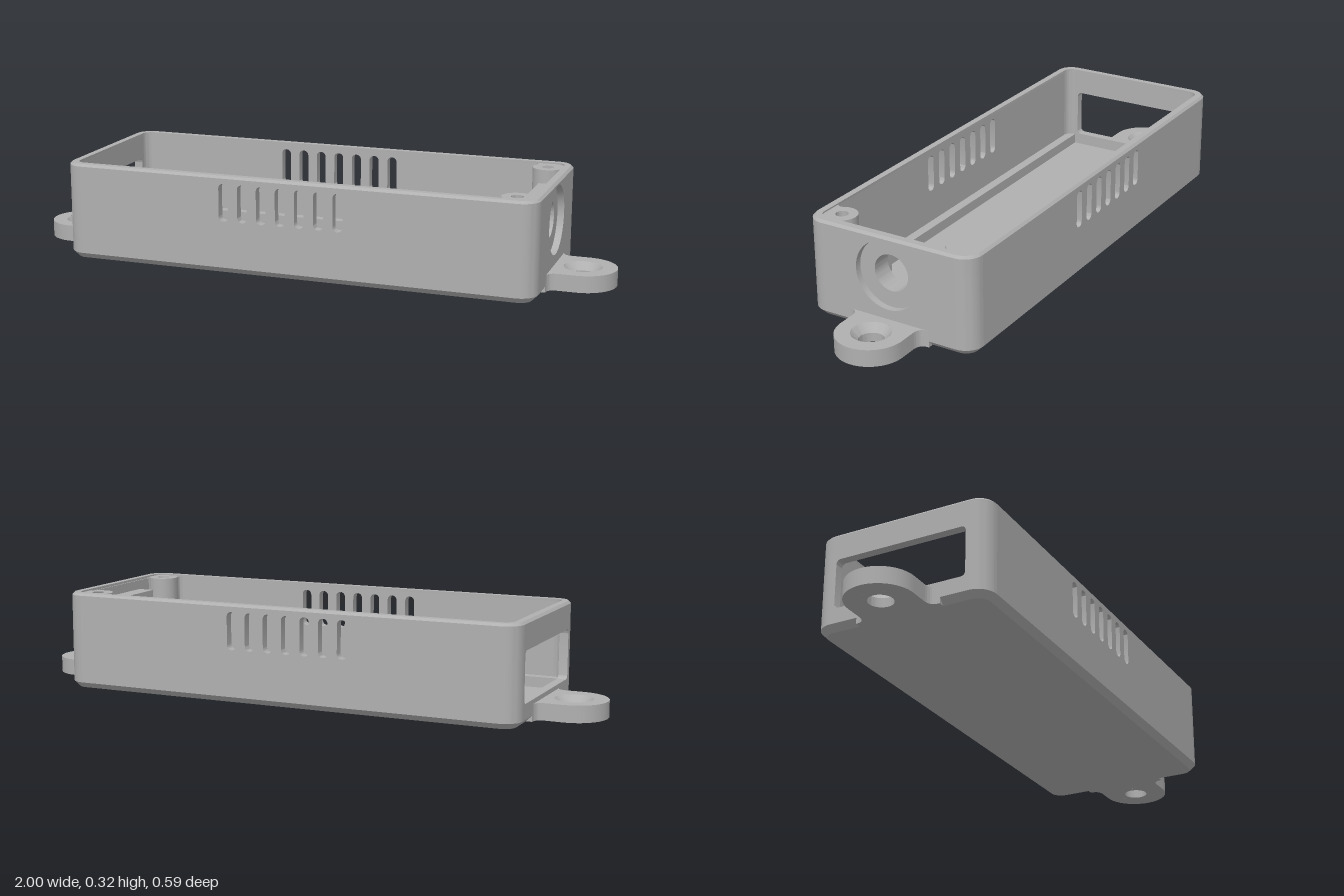
import * as THREE from 'three';
import { toCreasedNormals } from 'three/addons/utils/BufferGeometryUtils.js';

const HX = 0.8, HZ = 0.297, R = 0.06, WALL = 0.03;
const BASE = 0.02, FLOOR = 0.03, TOP = 0.325, SHOULDER = 0.317;

// Rounded outline of the box, moved inward by inset
function outline(inset) {
  const pts = [], r = R - inset, n = 8;
  [[1, 1], [-1, 1], [-1, -1], [1, -1]].forEach(([sx, sz], q) => {
    for (let i = 0; i <= n; i++) {
      const a = (q + i / n) * Math.PI / 2;
      pts.push(new THREE.Vector2(sx * (HX - R) + r * Math.cos(a), sz * (HZ - R) + r * Math.sin(a)));
    }
  });
  return pts;
}

// Skin between outlines given as [inset, height]
function loft(steps) {
  const pos = [], idx = [], n = outline(0).length;
  for (const [inset, y] of steps) for (const p of outline(inset)) pos.push(p.x, y, p.y);
  for (let i = 0; i < steps.length - 1; i++) {
    for (let j = 0; j < n; j++) {
      const a = i * n + j, b = i * n + (j + 1) % n;
      idx.push(a, a + n, b, b, a + n, b + n);
    }
  }
  const g = new THREE.BufferGeometry();
  g.setAttribute('position', new THREE.Float32BufferAttribute(pos, 3));
  g.setIndex(idx);
  return toCreasedNormals(g, 0.5);
}

function extrude(shape, depth) {
  const g = new THREE.ExtrudeGeometry(shape, { depth, bevelEnabled: false, curveSegments: 24 });
  return toCreasedNormals(g, 0.5);
}

// Plan shape (x, z) raised from y0 to y1
function plan(shape, y0, y1) {
  return extrude(shape, y1 - y0).rotateX(Math.PI / 2).translate(0, y1, 0);
}

function rect(x0, x1, y0, y1) {
  return new THREE.Shape([[x0, y0], [x1, y0], [x1, y1], [x0, y1]].map(p => new THREE.Vector2(...p)));
}

function circle(x, y, r) {
  return new THREE.Path().absarc(x, y, r, 0, Math.PI * 2, true);
}

// Rectangular hole with rounded corners
function roundedHole(x0, x1, y0, y1, r) {
  const p = new THREE.Path();
  p.absarc(x1 - r, y1 - r, r, 0, Math.PI / 2, false);
  p.absarc(x0 + r, y1 - r, r, Math.PI / 2, Math.PI, false);
  p.absarc(x0 + r, y0 + r, r, Math.PI, Math.PI * 1.5, false);
  p.absarc(x1 - r, y0 + r, r, Math.PI * 1.5, Math.PI * 2, false);
  p.closePath();
  return p;
}

// Panel across the x direction, from x0 to x0 + depth
function endPanel(z, y0, y1, hole, x0, depth) {
  const s = rect(-z, z, y0, y1);
  s.holes.push(hole);
  return extrude(s, depth).rotateY(Math.PI / 2).translate(x0, 0, 0);
}

export function createModel() {
  const model = new THREE.Group();
  const grey = new THREE.MeshStandardMaterial({ color: 0xb0b0b0 });
  grey.name = 'light grey plastic';
  const add = (name, geometry) => {
    const m = new THREE.Mesh(geometry, grey);
    m.name = name;
    model.add(m);
    return m;
  };

  // Floor, chamfered foot and rim
  add('floor', plan(new THREE.Shape(outline(0.02)), 0, FLOOR));
  add('bottomChamfer', loft([[0.02, 0], [0, BASE]]));
  add('rim', loft([[0, SHOULDER], [0.008, TOP], [WALL, TOP], [WALL, SHOULDER]]));

  // Long walls with ventilation slots
  const side = rect(-HX + R, HX - R, BASE, SHOULDER);
  for (let i = 0; i < 7; i++) {
    const x = -0.225 + i * 0.065;
    side.holes.push(roundedHole(x - 0.0165, x + 0.0165, 0.175, 0.3, 0.016));
  }
  add('frontWall', extrude(side, WALL).translate(0, 0, HZ - WALL));
  add('backWall', extrude(side, WALL).translate(0, 0, -HZ));

  // Rounded corner walls
  for (const sx of [1, -1]) for (const sz of [1, -1]) {
    const s = new THREE.Shape(), pts = [], n = 10;
    for (let i = 0; i <= 2 * n + 1; i++) {
      const outer = i <= n, a = (outer ? i : 2 * n + 1 - i) / n * Math.PI / 2;
      const r = outer ? R : R - WALL;
      pts.push(new THREE.Vector2(sx * (HX - R + r * Math.cos(a)), sz * (HZ - R + r * Math.sin(a))));
    }
    s.setFromPoints(pts);
    add('cornerWall', plan(s, BASE, SHOULDER));
  }

  // End wall with the wide port opening
  add('portWall', endPanel(HZ - R, BASE, SHOULDER, roundedHole(-0.225, 0.225, 0.07, 0.235, 0.015), -HX, WALL));

  // End wall with the recessed round socket and its backing block
  add('socketWallOuter', endPanel(HZ - R, BASE, SHOULDER, circle(0, 0.2, 0.113), HX - 0.022, 0.022));
  add('socketWallInner', endPanel(HZ - R, BASE, SHOULDER, circle(0, 0.2, 0.06), HX - 0.034, 0.012));
  add('socketBlock', endPanel(0.125, FLOOR, 0.285, circle(0, 0.2, 0.06), 0.71, 0.056));

  for (const sz of [1, -1]) {
    // Screw posts merging into the corners
    const s = new THREE.Shape();
    const cx = 0.72, cz = 0.217;
    s.moveTo(cx + 0.05, sz * (cz + 0.05));
    s.lineTo(cx - 0.05, sz * (cz + 0.05));
    s.quadraticCurveTo(cx - 0.036, sz * (cz + 0.045), cx - 0.043, sz * (cz + 0.025));
    for (let i = 0; i <= 20; i++) {
      const a = THREE.MathUtils.degToRad(150 + 180 * i / 20);
      s.lineTo(cx + 0.05 * Math.cos(a), sz * (cz + 0.05 * Math.sin(a)));
    }
    s.lineTo(cx + 0.05, sz * (cz - 0.035));
    s.closePath();
    s.holes.push(circle(cx, sz * cz, 0.02));
    add('screwPost', plan(s, FLOOR, 0.32));

    // Board rail and stop
    const rail = new THREE.BoxGeometry(1.29, 0.035, 0.034);
    add('boardRail', rail.translate(-0.125, FLOOR + 0.0175, sz * 0.252));
    const stop = new THREE.BoxGeometry(0.03, 0.125, 0.062);
    add('boardStop', stop.translate(0.505, FLOOR + 0.0625, sz * 0.237));
  }

  // Mounting ears with countersunk holes
  for (const sx of [1, -1]) {
    const c = 0.89, r = 0.11, f = 0.033;
    const ear = new THREE.Shape();
    ear.moveTo(sx * 0.772, -r - f);
    ear.lineTo(sx * HX, -r - f);
    ear.quadraticCurveTo(sx * HX, -r, sx * (HX + f), -r);
    for (let i = 0; i <= 32; i++) {
      const a = -Math.PI / 2 + Math.PI * i / 32;
      ear.lineTo(sx * (c + r * Math.cos(a)), r * Math.sin(a));
    }
    ear.lineTo(sx * (HX + f), r);
    ear.quadraticCurveTo(sx * HX, r, sx * HX, r + f);
    ear.lineTo(sx * 0.772, r + f);
    ear.closePath();
    ear.holes.push(circle(sx * c, 0, 0.062));
    add('mountingEar', plan(ear, 0, 0.055));
    const profile = [[0.062, 0.055], [0.04, 0.03], [0.04, 0], [0.062, 0]].map(p => new THREE.Vector2(...p));
    add('countersink', toCreasedNormals(new THREE.LatheGeometry(profile, 40), 0.5).translate(sx * c, 0, 0));
  }
  return model;
}
